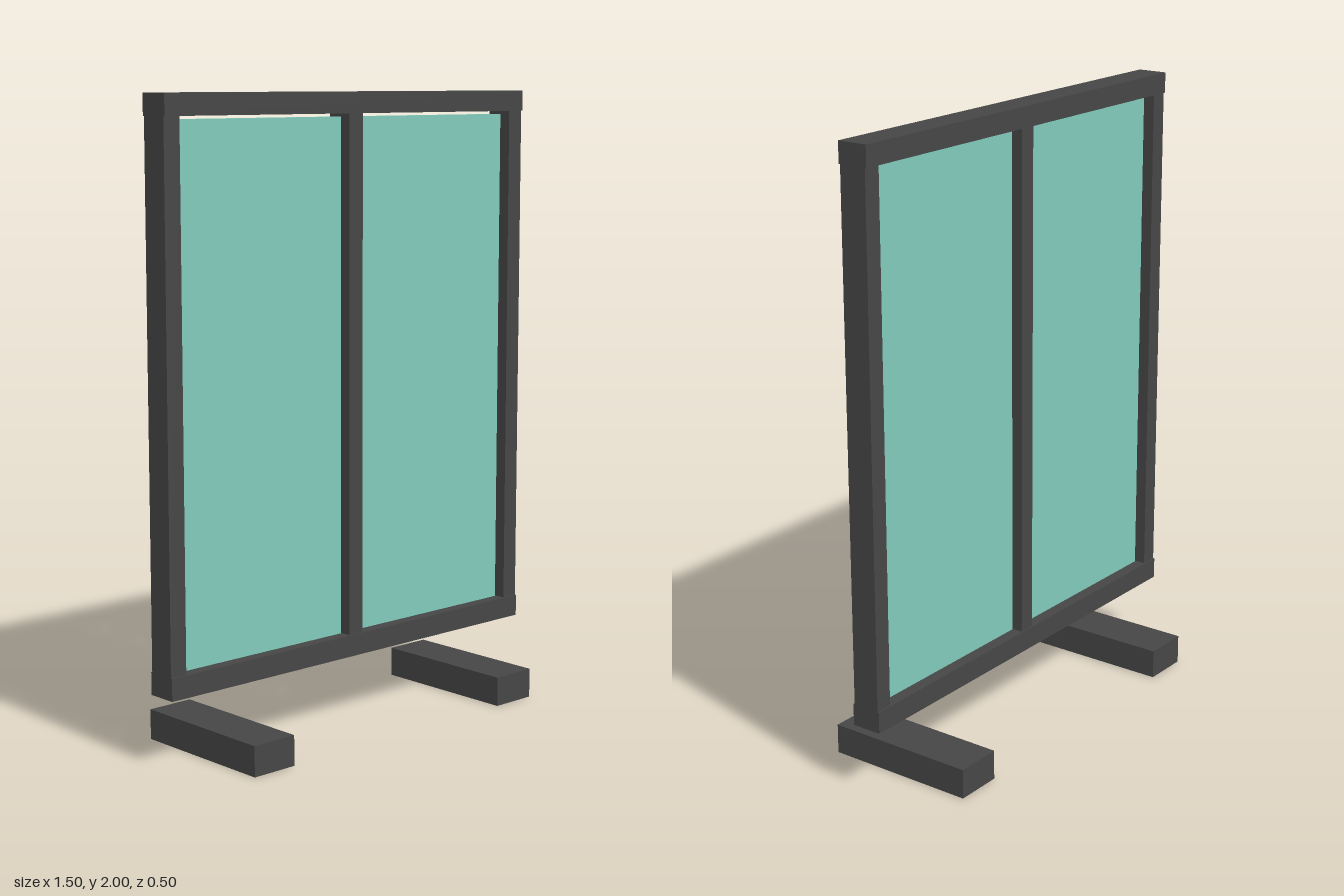
import * as THREE from 'three';

export function createModel() {
  const model = new THREE.Group();
  model.name = 'glassPartition';

  const frame = new THREE.MeshStandardMaterial({ color: 0x464646 });
  frame.name = 'dark grey frame';
  const glass = new THREE.MeshStandardMaterial({ color: 0x80cabb });
  glass.name = 'pale green glass';

  // Box given by its x and y extents and its depth, centred on z = 0
  function addBox(name, x0, x1, y0, y1, depth, material) {
    const mesh = new THREE.Mesh(new THREE.BoxGeometry(x1 - x0, y1 - y0, depth), material);
    mesh.position.set((x0 + x1) / 2, (y0 + y1) / 2, 0);
    mesh.name = name;
    model.add(mesh);
  }

  // Horizontal rails, slightly deeper than the posts
  addBox('topRail', -0.75, 0.75, 1.934, 2, 0.1, frame);
  addBox('bottomRail', -0.75, 0.75, 0.217, 0.287, 0.1, frame);

  // Centre post
  addBox('centrePost', -0.028, 0.028, 0.287, 1.934, 0.09, frame);

  // Side posts, panes and floor feet on both sides
  for (const [side, s] of [['left', 1], ['right', -1]]) {
    const add = (part, a, b, y0, y1, depth, material) =>
      addBox(side + part, Math.min(s * a, s * b), Math.max(s * a, s * b), y0, y1, depth, material);
    add('Post', 0.692, 0.75, 0.287, 1.934, 0.09, frame);
    add('Pane', 0.032, 0.687, 0.28, 1.924, 0.02, glass);
    add('Foot', 0.446, 0.602, 0, 0.096, 0.5, frame);
  }

  return model;
}
